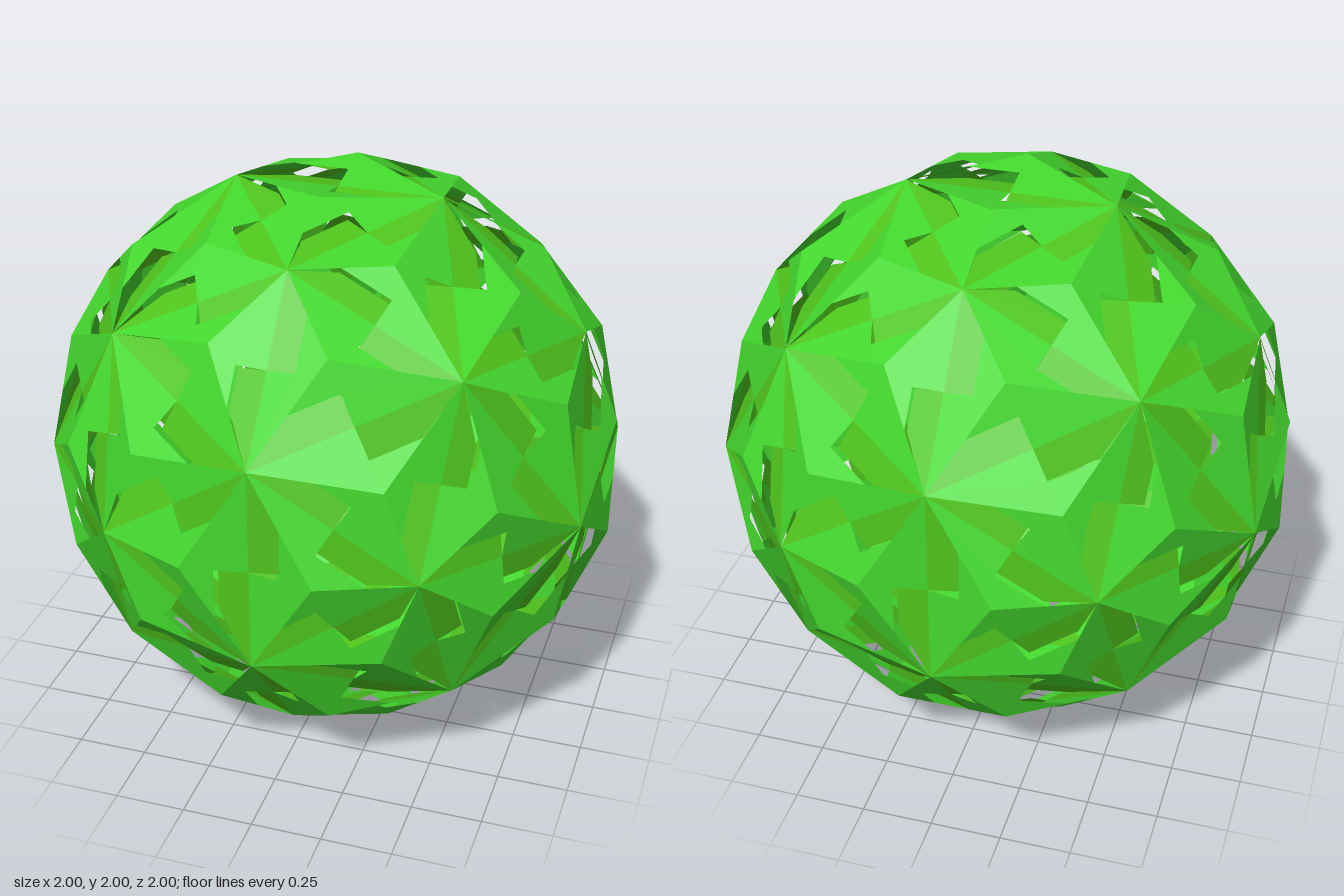
import * as THREE from 'three';

const R = 1.025;                       // radius of the sphere holding every corner
const PHI = (1 + Math.sqrt(5)) / 2;
const V = (x, y, z) => new THREE.Vector3(x, y, z);
const mid = (a, b) => a.clone().add(b).multiplyScalar(0.5);

// corners (0, +-a, +-b) and their cyclic permutations, pushed out to the sphere
function cyclic(a, b) {
  const out = [];
  for (const s of [-1, 1]) for (const t of [-1, 1]) {
    out.push(V(0, s * a, t * b), V(s * a, t * b, 0), V(t * b, 0, s * a));
  }
  return out.map(v => v.setLength(R));
}

function mesh(name, points, color) {
  const geometry = new THREE.BufferGeometry().setFromPoints(points);
  geometry.computeVertexNormals();
  const material = new THREE.MeshStandardMaterial({ color, flatShading: true, side: THREE.DoubleSide });
  const m = new THREE.Mesh(geometry, material);
  m.name = name;
  return m;
}

// One rhombus, valley-folded along its long diagonal a-b. Each half has a
// cut-out beside one tip, behind which the opposite half runs on as a flap.
function addRhombus(a, b, s1, s2, panels, flaps) {
  const c = mid(a, b);
  const right = a.clone().sub(c).cross(c);
  const [p, q] = s1.clone().sub(s2).dot(right) > 0 ? [s1, s2] : [s2, s1];
  const axis = b.clone().sub(a).normalize();
  const foot = v => a.clone().addScaledVector(axis, v.clone().sub(a).dot(axis));

  for (const [tip, end, near, far] of [[a, b, p, q], [b, a, q, p]]) {
    const f = foot(near), g = foot(far);
    const h = c.clone().addScaledVector(near.clone().sub(f), 0.5);
    const e = mid(tip, near);
    panels.push(h, c, end, h, end, near, h, near, e);

    const drop = far.clone().sub(g);
    const h2 = c.clone().addScaledVector(drop, -0.5);
    const e2 = mid(tip, g.clone().sub(drop));
    flaps.push(tip, c, h2, tip, h2, e2);
  }
}

// pairs of points closer together than a limit
function pairs(list, other, limit) {
  const out = [];
  list.forEach((a, i) => other.forEach((b, j) => {
    if ((list !== other || i < j) && a.distanceTo(b) < limit) out.push([a, b]);
  }));
  return out;
}

export function createModel() {
  const group = new THREE.Group();
  group.name = 'foldedRhombusBall';

  // three-fold and five-fold corners
  const threes = cyclic(1 / PHI, PHI);
  for (const x of [-1, 1]) for (const y of [-1, 1]) for (const z of [-1, 1]) {
    threes.push(V(x, y, z).setLength(R));
  }
  const fives = cyclic(PHI, 1);

  // slim rhombi, one on each two-fold axis; their side corners are shared
  const slimPanels = [], slimFlaps = [], sides = [];
  for (const [a, b] of pairs(threes, threes, 0.8)) {
    const n = mid(a, b).normalize();
    const across = b.clone().sub(a).cross(n).setLength(0.224);
    const s1 = n.clone().add(across), s2 = n.clone().sub(across);
    sides.push(s1, s2);
    addRhombus(a, b, s1, s2, slimPanels, slimFlaps);
  }

  // wide rhombi, five around each five-fold corner
  const widePanels = [], wideFlaps = [];
  for (const [a, b] of pairs(fives, threes, 0.75)) {
    const reach = v => v.distanceTo(a) + v.distanceTo(b);
    const [s1, s2] = [...sides].sort((u, v) => reach(u) - reach(v));
    addRhombus(a, b, s1, s2, widePanels, wideFlaps);
  }

  const green = 0x44d82e, olive = 0x4fc41c;
  group.add(
    mesh('slimPanels', slimPanels, green),
    mesh('slimFlaps', slimFlaps, olive),
    mesh('widePanels', widePanels, green),
    mesh('wideFlaps', wideFlaps, olive)
  );
  for (const part of group.children) part.position.y = 1;
  return group;
}
